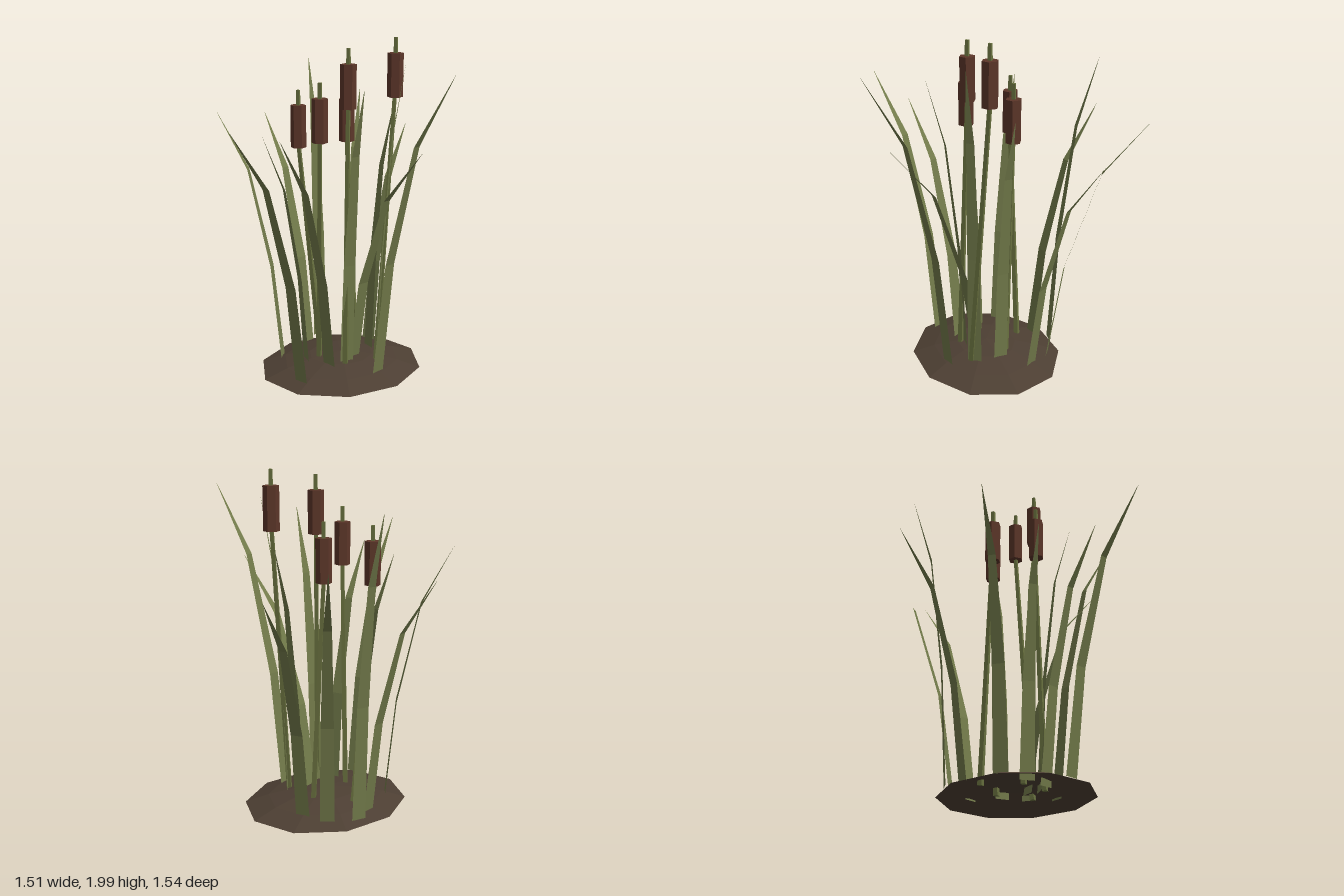
import * as THREE from 'three';

const mat = (name, color, opts = {}) =>
  new THREE.MeshStandardMaterial({ name, color, flatShading: true, ...opts });

// Flat strip that rises, bends outward and tapers to a point
function bladeGeometry([bx, bz, tx, tz, height], baseY = 0.035, width = 0.085) {
  const dx = tx - bx, dz = tz - bz, len = Math.hypot(dx, dz);
  const sx = -dz / len, sz = dx / len;
  // reach along the lean, rise, half width
  const rows = [[0, 0, 1], [0.16, 0.385, 0.85], [0.51, 0.775, 0.54], [1, 1, 0.02]];
  const pos = [], idx = [];
  rows.forEach(([reach, rise, w], i) => {
    const x = bx + dx * reach, z = bz + dz * reach;
    const y = baseY + (height - baseY) * rise, h = w * width / 2;
    pos.push(x - sx * h, y, z - sz * h, x + sx * h, y, z + sz * h);
    if (i < rows.length - 1) {
      const a = i * 2;
      idx.push(a, a + 2, a + 1, a + 1, a + 2, a + 3);
    }
  });
  const g = new THREE.BufferGeometry();
  g.setAttribute('position', new THREE.Float32BufferAttribute(pos, 3));
  g.setIndex(idx);
  g.computeVertexNormals();
  return g;
}

// Thin tapered rod between two points
function rod(from, to, r0, r1, material, name) {
  const dir = to.clone().sub(from);
  const m = new THREE.Mesh(new THREE.CylinderGeometry(r1, r0, dir.length(), 4), material);
  m.position.copy(from).addScaledVector(dir, 0.5);
  m.quaternion.setFromUnitVectors(new THREE.Vector3(0, 1, 0), dir.normalize());
  m.name = name;
  return m;
}

export function createModel() {
  const root = new THREE.Group();
  root.name = 'reedClump';
  const soil = mat('soil brown', 0x4d3f33, { side: THREE.DoubleSide });
  const green = mat('reed green', 0x727a4a, { side: THREE.DoubleSide });
  const stemGreen = mat('stem green', 0x69713f);
  const brown = mat('seed head brown', 0x5c3629);

  // Low oval mound, open underneath
  const profile = [[0.505, 0], [0.36, 0.045], [0.2, 0.077], [0, 0.09]]
    .map(([r, y]) => new THREE.Vector2(r, y));
  const mound = new THREE.Mesh(new THREE.LatheGeometry(profile, 10, Math.PI / 2), soil);
  mound.scale.z = 0.87;
  mound.position.x = 0.087;
  mound.name = 'mound';
  root.add(mound);

  // Leaf blades: base x, base z, tip x, tip z, tip height
  const blades = [
    [0.02, -0.33, -0.07, -0.77, 1.46],
    [0.14, -0.395, 0.18, -0.64, 1.81],
    [0.30, -0.31, 0.615, -0.76, 1.57],
    [0.375, -0.175, 0.755, -0.40, 1.38],
    [-0.215, -0.195, -0.52, -0.425, 1.56],
    [-0.135, -0.02, -0.39, -0.04, 1.46],
    [0.285, -0.015, 0.44, -0.025, 1.57],
    [-0.265, 0.18, -0.755, 0.415, 1.60],
    [-0.05, 0.12, -0.43, 0.295, 1.50],
    [0.062, 0.125, 0.047, 0.34, 1.74],
    [0.19, 0.28, 0.34, 0.765, 1.86],
    [0.13, 0.08, 0.25, 0.61, 1.43],
    [0.265, 0.14, 0.37, 0.225, 1.85],
  ];
  const leaves = new THREE.Group();
  leaves.name = 'leafBlades';
  for (const b of blades) {
    const m = new THREE.Mesh(bladeGeometry(b), green);
    m.name = 'leafBlade';
    leaves.add(m);
  }
  root.add(leaves);

  // Cattails: base x, base z, head x, head z, head bottom
  const cattails = [
    [0.05, -0.22, -0.088, -0.215, 1.34],
    [0.228, -0.07, 0.183, -0.122, 1.37],
    [-0.055, -0.01, -0.082, 0.06, 1.418],
    [0.04, 0.15, 0.072, 0.107, 1.605],
    [0.245, 0.155, 0.38, 0.095, 1.65],
  ];
  const headLength = 0.25;
  for (const [bx, bz, hx, hz, y] of cattails) {
    const g = new THREE.Group();
    g.name = 'cattail';
    g.add(rod(new THREE.Vector3(bx, 0.035, bz), new THREE.Vector3(hx, y + 0.02, hz),
      0.019, 0.014, stemGreen, 'stem'));
    const head = new THREE.Mesh(new THREE.CylinderGeometry(0.046, 0.046, headLength, 6), brown);
    head.position.set(hx, y + headLength / 2, hz);
    head.name = 'seedHead';
    g.add(head);
    g.add(rod(new THREE.Vector3(hx, y + headLength - 0.02, hz),
      new THREE.Vector3(hx, y + headLength + 0.088, hz), 0.015, 0.013, stemGreen, 'headTip'));
    root.add(g);
  }
  return root;
}
